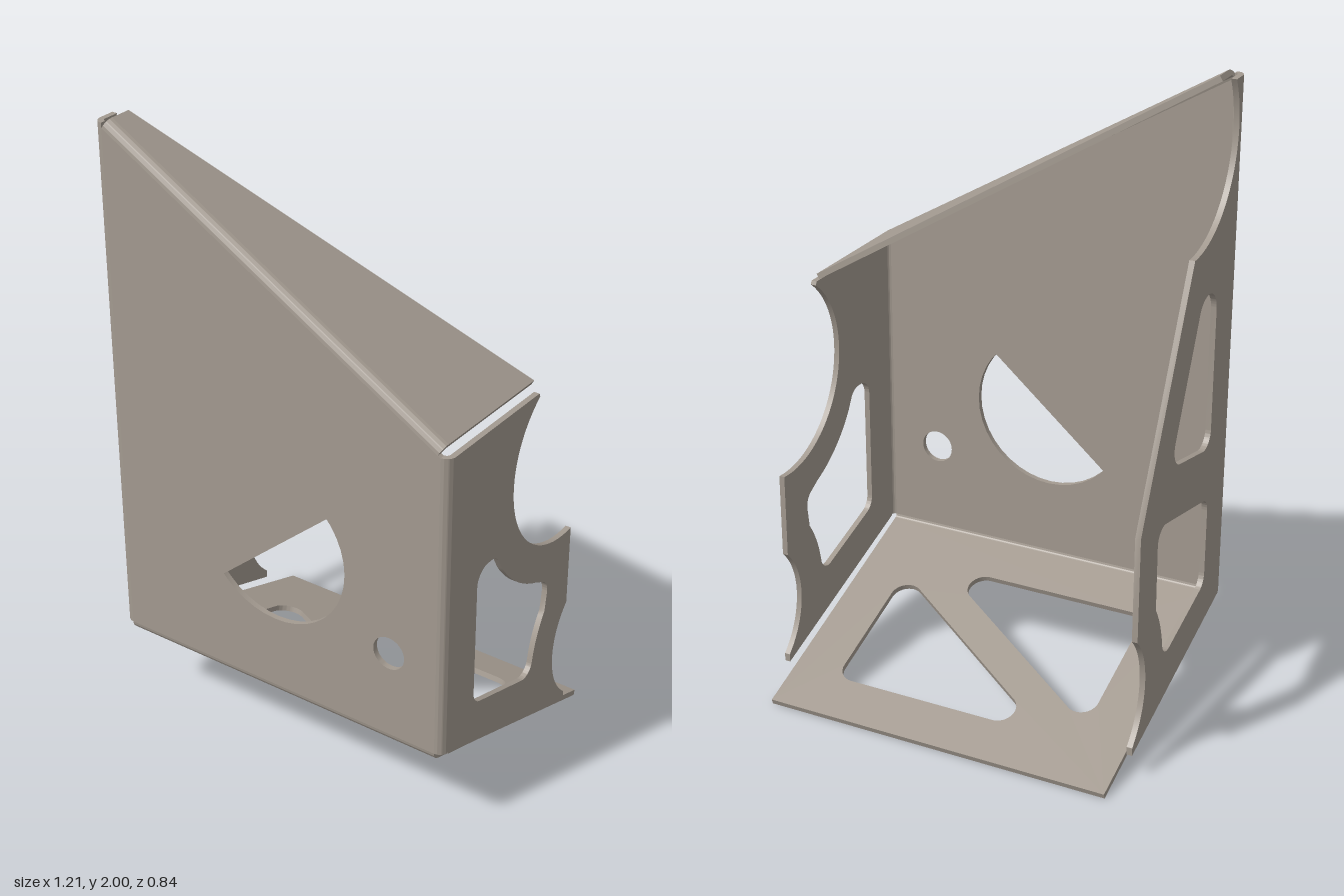
import * as THREE from 'three';
import { toCreasedNormals } from 'three/addons/utils/BufferGeometryUtils.js';

const T = 0.018;   // sheet thickness
const R = 0.03;    // outer bend radius
const W = 0.575;   // half width of the flat front plate
const ZB = 0.39;   // z of the bend axes

const material = new THREE.MeshStandardMaterial({ color: 0xa39a90 });

// Closed outline through corners [x, y, optional fillet radius]
function outline(points, Type = THREE.Path) {
  const path = new Type();
  const n = points.length;
  points.forEach(([x, y, r], i) => {
    if (!r) {
      if (i === 0) path.moveTo(x, y); else path.lineTo(x, y);
      return;
    }
    const p = new THREE.Vector2(x, y);
    const a = new THREE.Vector2(...points[(i + n - 1) % n].slice(0, 2)).sub(p).normalize();
    const b = new THREE.Vector2(...points[(i + 1) % n].slice(0, 2)).sub(p).normalize();
    const half = Math.acos(a.dot(b)) / 2;
    const c = a.clone().add(b).normalize().multiplyScalar(r / Math.sin(half)).add(p);
    const d = r / Math.tan(half);
    const s = a.multiplyScalar(d).add(p), e = b.clone().multiplyScalar(d).add(p);
    const clockwise = (p.x - s.x) * (e.y - p.y) - (p.y - s.y) * (e.x - p.x) < 0;
    if (i === 0) path.moveTo(s.x, s.y);
    path.absarc(c.x, c.y, r, Math.atan2(s.y - c.y, s.x - c.x), Math.atan2(e.y - c.y, e.x - c.x), clockwise);
  });
  path.closePath();
  return path;
}

// Sampled arc points to splice into an outline
function arc(cx, cy, r, a0, a1, n = 20) {
  return Array.from({ length: n + 1 }, (_, i) => {
    const a = a0 + (a1 - a0) * i / n;
    return [cx + r * Math.cos(a), cy + r * Math.sin(a)];
  });
}

function extrude(name, shape, depth) {
  const geo = new THREE.ExtrudeGeometry(shape, { depth, bevelEnabled: false, curveSegments: 20 });
  const mesh = new THREE.Mesh(toCreasedNormals(geo, 0.5), material);
  mesh.name = name;
  return mesh;
}

function plate(name, points, holes = []) {
  const shape = outline(points, THREE.Shape);
  shape.holes.push(...holes);
  return extrude(name, shape, T);
}

// Curved strip joining two plates
function bend(name, a0, a1, length) {
  const shape = new THREE.Shape();
  shape.absarc(0, 0, R, a0, a1, false);
  shape.absarc(0, 0, R - T, a1, a0, true);
  shape.closePath();
  return extrude(name, shape, length);
}

function circle(x, y, r) {
  return new THREE.Path().absarc(x, y, r, 0, Math.PI * 2, false);
}

export function createModel() {
  const model = new THREE.Group();
  model.name = 'sheetMetalBracket';

  // Front plate with a large bore and two bolt holes
  const front = plate('frontPlate', [[-W, 0.3], [W, 0.3], [W, 1.298], [-W, 1.974]], [
    circle(0, 0.8, 0.256), circle(-0.415, 1.01, 0.054), circle(0.412, 0.59, 0.054),
  ]);
  front.position.z = ZB + R - T;
  model.add(front);

  // Side panels, drawn as (z, y)
  const lowerNotch = arc(-0.44, 0.29, 0.24, 0.785, -0.87);
  const lowerHoleArc = arc(-0.44, 0.29, 0.37, 0.604, 0.15, 10);
  const holeBase = [[-0.07, 0.295, 0.045], [0.26, 0.395, 0.05]];
  const foot = [[-0.285, 0.08], [ZB, 0.295]];

  const shortSide = plate('leftSidePanel', [
    [ZB, 1.3], [-0.04, 1.3],
    ...arc(-0.23, 1.04, 0.31, 0.93, -0.13 - Math.PI / 2 + 2 * Math.PI - 2 * Math.PI, 32),
    [-0.27, 0.733], ...lowerNotch, ...foot,
  ], [outline([
    [0.26, 0.86, 0.055], [0.16, 0.86, 0.05],
    ...arc(-0.23, 1.04, 0.43, -0.6, -1.21, 12),
    [-0.15, 0.6, 0.05], ...lowerHoleArc, ...holeBase,
  ])]);

  const tallSide = plate('rightSidePanel', [
    [ZB, 1.99], ...arc(0.067, 1.84, 0.31, 0.505, -Math.PI / 2, 32),
    [-0.27, 0.8], ...lowerNotch, ...foot,
  ], [
    outline([[0.26, 0.862, 0.05], [0.26, 1.64, 0.07], [-0.06, 0.932, 0.06]]),
    outline([[0.26, 0.69, 0.05], [-0.14, 0.775, 0.05], ...lowerHoleArc, ...holeBase]),
  ]);

  for (const [panel, x] of [[shortSide, W + R], [tallSide, -W - R + T]]) {
    panel.rotation.y = -Math.PI / 2;
    panel.position.x = x;
    model.add(panel);
  }

  // Vertical bends between front plate and side panels
  const leftBend = bend('leftBend', -Math.PI / 2, 0, 1.0);
  const rightBend = bend('rightBend', -Math.PI, -Math.PI / 2, 1.69);
  for (const [b, x] of [[leftBend, W], [rightBend, -W]]) {
    b.rotation.x = -Math.PI / 2;
    b.position.set(x, 0.3, ZB);
    model.add(b);
  }

  // Sloping top flange, local x running down the slope
  const L = 1.322;
  const top = new THREE.Group();
  top.name = 'topFlange';
  top.position.set(-W, 1.974, 0);
  top.rotation.z = -Math.atan(0.588);
  const topPlate = plate('topFlangePlate', [[0, ZB], [0, 0.32], [L, -0.05], [L, ZB]]);
  topPlate.rotation.x = Math.PI / 2;
  topPlate.position.y = R;
  const topBend = bend('topBend', Math.PI / 2, Math.PI, L);
  topBend.rotation.y = Math.PI / 2;
  topBend.position.z = ZB;
  top.add(topPlate, topBend);
  model.add(top);

  // Bottom flange slanting down to the back, with two triangular cutouts
  const tilt = 0.3235;
  const depth = 0.8575;
  const cutout = (sign) => outline(
    [[-0.42, -0.211], [0.311, 0.245], [-0.42, 0.245]].map(([x, z]) => {
      const zz = sign > 0 ? z : -0.03 - z;
      return [sign * x, (zz - 0.395) / Math.cos(tilt), 0.053];
    }));
  const bottom = new THREE.Group();
  bottom.name = 'bottomFlange';
  bottom.position.set(0, 0.3, ZB);
  bottom.rotation.x = -tilt;
  const bottomPlate = plate('bottomFlangePlate',
    [[-W, 0], [W, 0], [W, -depth], [-W, -depth]], [cutout(1), cutout(-1)]);
  bottomPlate.rotation.x = Math.PI / 2;
  bottomPlate.position.y = -R + T;
  bottom.add(bottomPlate);
  model.add(bottom);

  const bottomBend = bend('bottomBend', Math.PI, Math.PI * 1.5 - tilt, 2 * W);
  bottomBend.rotation.y = Math.PI / 2;
  bottomBend.position.set(-W, 0.3, ZB);
  model.add(bottomBend);

  return model;
}
